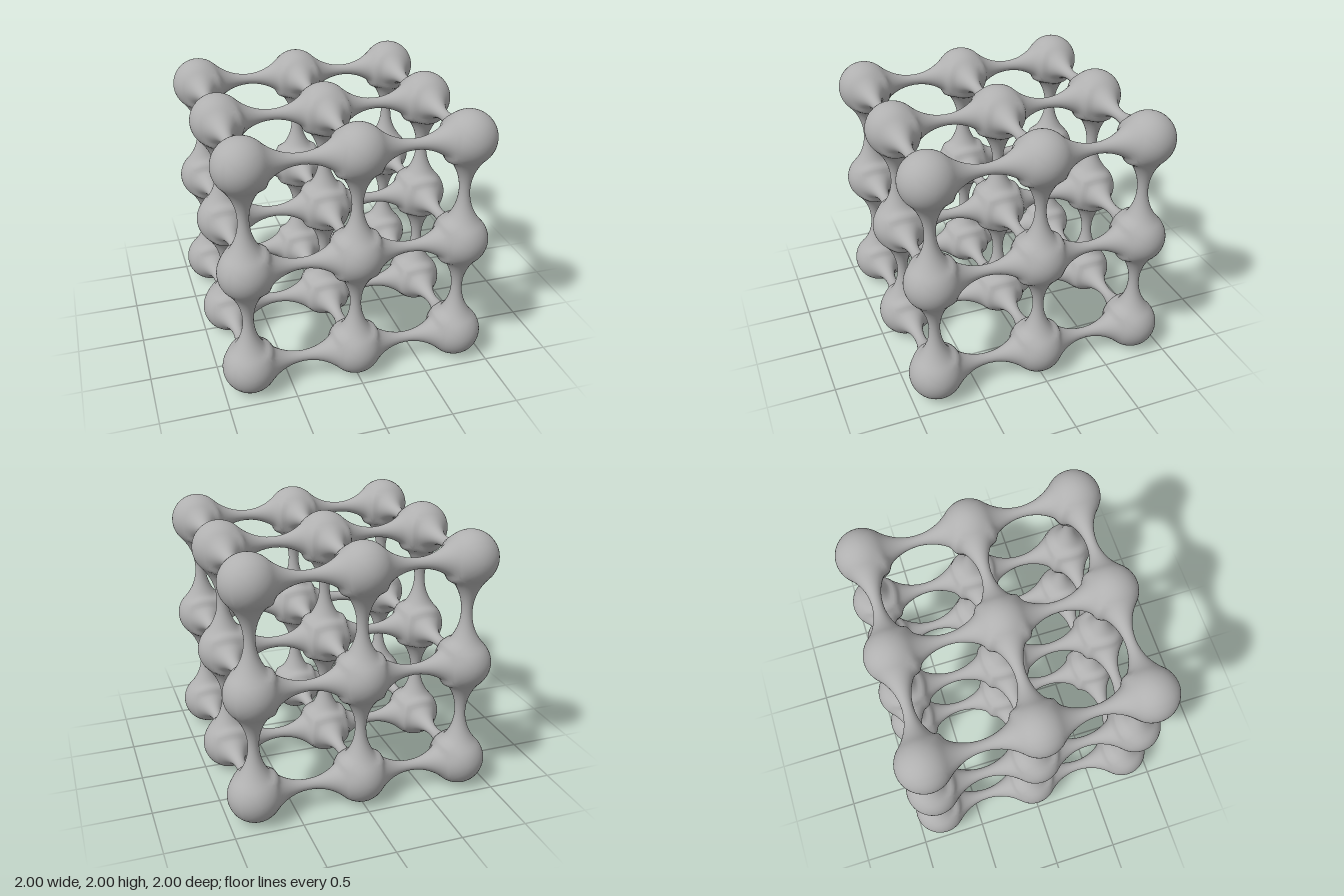
import * as THREE from 'three';
import { mergeVertices } from 'three/addons/utils/BufferGeometryUtils.js';

const PITCH = 0.8, HALF = 0.4;       // node spacing and half a bridge
const BALL = 0.2, NECK = 0.04;       // ball and bridge waist radii
const FILLET = 0.38;                 // arc that is tangent to the ball and the waist
const SIDE = 8, RINGS = 10;          // steps per patch side and from border to waist
const LIMIT = Math.atan2(HALF - 0.4 + NECK + FILLET, HALF);
const NECK_ANGLE = Math.atan2(NECK, HALF);

// Distance from the node centre to the surface at an angle from an arm's axis
function armRadius(angle) {
  if (angle >= LIMIT) return BALL;
  const h = NECK + FILLET;
  const along = HALF * Math.cos(angle) + h * Math.sin(angle);
  const root = along * along - (HALF * HALF + h * h - FILLET * FILLET);
  return along - Math.sqrt(Math.max(root, 0));
}

// Ball drawn out into its arms, with a soft web between neighbouring arms
function surfaceRadius(dir, arms) {
  const angles = arms.map((arm) => dir.angleTo(arm));
  let radius = Math.max(...angles.map(armRadius));
  const near = angles.map((a) => Math.exp(-(((a - Math.PI / 4) / 0.24) ** 2)));
  for (let i = 0; i < near.length; i++) {
    for (let j = 0; j < i; j++) radius += 0.022 * near[i] * near[j];
  }
  return radius;
}

// Border of a cube face, as azimuth and polar angle about the face axis
function faceBorder() {
  const border = [];
  for (let side = 0; side < 4; side++) {
    for (let n = 0; n < SIDE; n++) {
      const q = Math.tan((n / SIDE - 0.5) * Math.PI / 2);
      border.push({
        azimuth: Math.atan2(q, 1) + side * Math.PI / 2,
        polar: Math.atan(Math.hypot(1, q)),
      });
    }
  }
  return border;
}

// One node: six patches, each closing to a pole or opening into half a bridge
function nodeGeometry(arms) {
  const positions = [], index = [];
  const border = faceBorder(), count = border.length;
  for (let axis = 0; axis < 3; axis++) {
    for (const sign of [1, -1]) {
      const hasArm = arms.some((arm) => arm.getComponent(axis) === sign);
      const inner = hasArm ? NECK_ANGLE : 0;
      const base = positions.length / 3;
      for (let ring = 0; ring <= RINGS; ring++) {
        const t = 1 - (1 - ring / RINGS) ** 1.5;
        for (const { azimuth, polar } of border) {
          const angle = polar + (inner - polar) * t;
          const dir = new THREE.Vector3();
          dir.setComponent(axis, sign * Math.cos(angle));
          dir.setComponent((axis + 1) % 3, Math.sin(angle) * Math.cos(azimuth));
          dir.setComponent((axis + 2) % 3, Math.sin(angle) * Math.sin(azimuth));
          const radius = surfaceRadius(dir, arms);
          positions.push(...dir.multiplyScalar(radius).toArray());
        }
      }
      for (let ring = 0; ring < RINGS; ring++) {
        for (let n = 0; n < count; n++) {
          const a = base + ring * count + n;
          const b = base + ring * count + (n + 1) % count;
          const c = a + count, d = b + count;
          if (sign > 0) index.push(a, b, d, a, d, c);
          else index.push(a, d, b, a, c, d);
        }
      }
    }
  }
  let geometry = new THREE.BufferGeometry();
  geometry.setAttribute('position', new THREE.Float32BufferAttribute(positions, 3));
  geometry.setIndex(index);
  geometry = mergeVertices(geometry, 1e-5);
  geometry.computeVertexNormals();

  // Waist normals stand square to the bridge so the two halves meet smoothly
  const pos = geometry.attributes.position, normals = geometry.attributes.normal;
  const p = new THREE.Vector3(), n = new THREE.Vector3();
  for (let i = 0; i < pos.count; i++) {
    p.fromBufferAttribute(pos, i);
    for (let axis = 0; axis < 3; axis++) {
      if (Math.abs(p.getComponent(axis)) < HALF - 0.002) continue;
      n.copy(p).setComponent(axis, 0).normalize();
      normals.setXYZ(i, n.x, n.y, n.z);
    }
  }
  return geometry;
}

export function createModel() {
  const model = new THREE.Group();
  model.name = 'ballLattice';
  const grey = new THREE.MeshStandardMaterial({ color: 0xb0b0b0 });
  grey.name = 'grey';
  const names = { 3: 'cornerNode', 4: 'edgeNode', 5: 'faceNode', 6: 'centreNode' };

  // Three by three by three nodes, each reaching halfway to its neighbours
  const steps = [-1, 0, 1];
  for (const x of steps) for (const y of steps) for (const z of steps) {
    const arms = [];
    [x, y, z].forEach((place, axis) => {
      for (const sign of [1, -1]) {
        if (place !== sign) arms.push(new THREE.Vector3().setComponent(axis, sign));
      }
    });
    const node = new THREE.Mesh(nodeGeometry(arms), grey);
    node.name = names[arms.length];
    node.position.set(x * PITCH, 1 + y * PITCH, z * PITCH);
    model.add(node);
  }
  return model;
}
